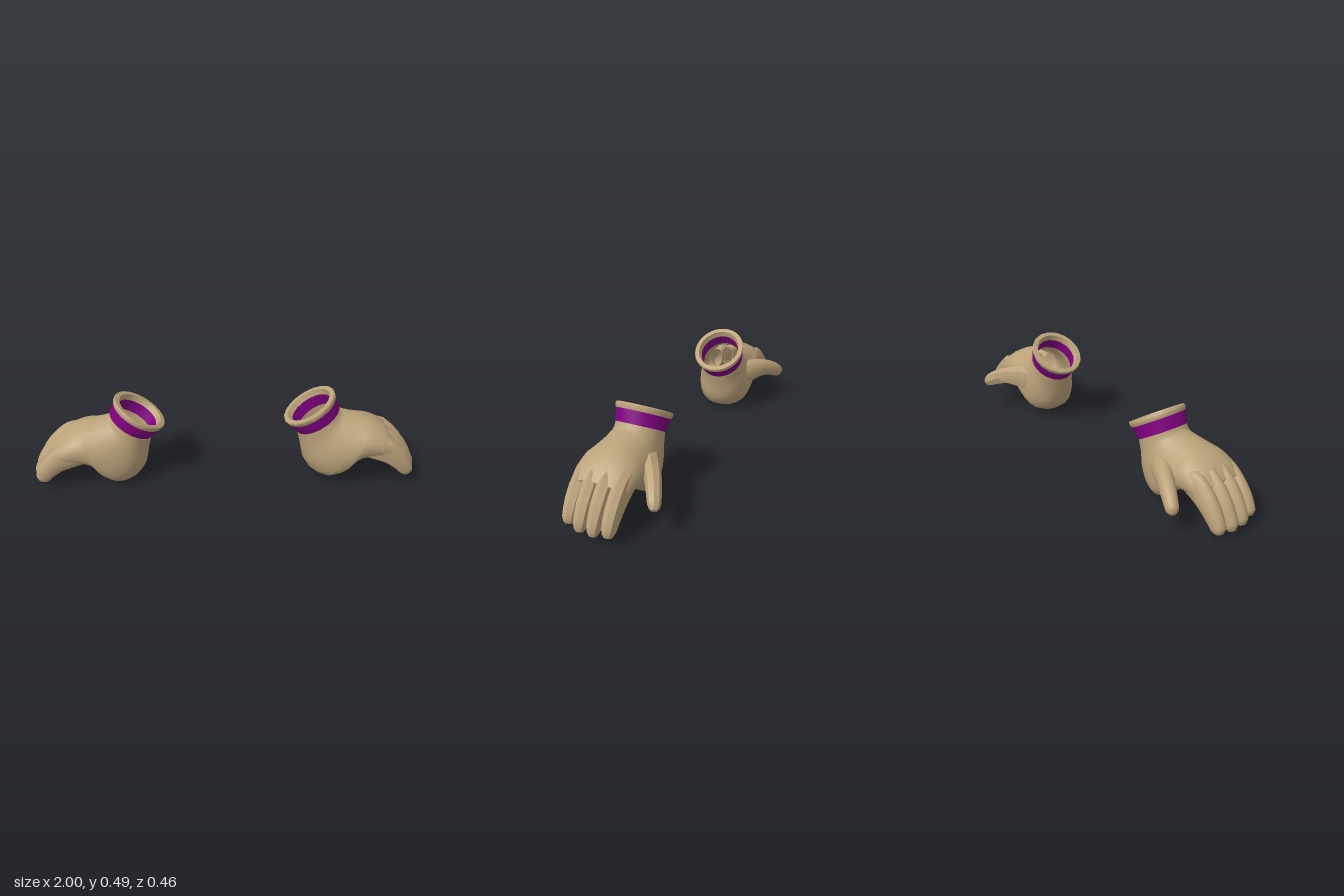
import * as THREE from 'three';
import { toCreasedNormals } from 'three/addons/utils/BufferGeometryUtils.js';

const V3 = (x, y, z) => new THREE.Vector3(x, y, z);

// Skin a list of cross-sections {c, u, v, p (squareness of underside), d (hollow underside)}
function loft(sections, sides, rows) {
  const curve = key => new THREE.CatmullRomCurve3(sections.map(s => s[key]), false, 'centripetal');
  const extra = new THREE.CatmullRomCurve3(sections.map((s, i) => V3(s.p ?? 1, s.d ?? 0, i)));
  const [C, U, W] = [curve('c'), curve('u'), curve('v')];
  const pos = [], idx = [];
  for (let i = 0; i <= rows; i++) {
    const t = i / rows, c = C.getPoint(t), u = U.getPoint(t), v = W.getPoint(t), e = extra.getPoint(t);
    for (let j = 0; j < sides; j++) {
      const a = j / sides * Math.PI * 2, co = Math.cos(a), si = Math.sin(a);
      const bend = k => Math.sign(k) * Math.abs(k) ** (si < 0 ? e.x : 0.95);
      const hollow = si < 0 ? 1 - e.y * si ** 4 : 1;
      const q = c.clone().addScaledVector(v, bend(co)).addScaledVector(u, bend(si) * hollow);
      pos.push(q.x, q.y, q.z);
      if (i < rows) {
        const k = i * sides, n = (j + 1) % sides;
        idx.push(k + j, k + sides + j, k + n, k + n, k + sides + j, k + sides + n);
      }
    }
  }
  // end cap
  const end = C.getPoint(1), last = rows * sides, mid = pos.length / 3;
  pos.push(end.x, end.y, end.z);
  for (let j = 0; j < sides; j++) idx.push(mid, last + (j + 1) % sides, last + j);
  const g = new THREE.BufferGeometry();
  g.setAttribute('position', new THREE.Float32BufferAttribute(pos, 3));
  g.setIndex(idx);
  return g;
}

// Finger-like limb: rows of [x, y, z, half thickness, half width]
function limb(rows, sides, steps) {
  const pts = rows.map(r => V3(r[0], r[1], r[2]));
  return loft(rows.map((r, i) => {
    const t = pts[Math.min(i + 1, pts.length - 1)].clone().sub(pts[Math.max(i - 1, 0)]).normalize();
    const v = t.clone().cross(V3(0, 1, 0)).normalize();
    const u = v.clone().cross(t);
    return { c: pts[i], u: u.multiplyScalar(r[3]), v: v.multiplyScalar(r[4]), p: 0.9 };
  }), sides, steps);
}

// Palm: [top x, top y, bottom x, bottom y, centre z, half width, squareness, hollow]
const PALM = [
  [0.58, 0.378, 0.377, 0.242, 0.035, 0.119, 1, 0],
  [0.595, 0.355, 0.395, 0.175, 0.037, 0.122, 1, 0],
  [0.625, 0.348, 0.415, 0.08, 0.042, 0.135, 0.95, 0],
  [0.66, 0.342, 0.465, 0.018, 0.046, 0.147, 0.85, 0.02],
  [0.69, 0.337, 0.54, -0.004, 0.048, 0.155, 0.75, 0.06],
  [0.72, 0.33, 0.615, 0.035, 0.05, 0.156, 0.72, 0.15],
  [0.75, 0.318, 0.665, 0.105, 0.05, 0.154, 0.72, 0.2],
  [0.79, 0.3, 0.72, 0.13, 0.05, 0.15, 0.7, 0.1],
  [0.835, 0.27, 0.785, 0.14, 0.05, 0.147, 0.7, 0],
  [0.875, 0.228, 0.835, 0.13, 0.048, 0.138, 0.7, 0]
];

// Finger profile: [x, y, half thickness, half width]
const FINGER = [
  [0.70, 0.235, 0.055, 0.034], [0.80, 0.213, 0.07, 0.04], [0.88, 0.16, 0.058, 0.04],
  [0.935, 0.10, 0.047, 0.037], [0.968, 0.048, 0.037, 0.031], [0.978, 0.026, 0.018, 0.017]
];
// [name, base z, tip z, length, base drop]
const FINGERS = [
  ['indexFinger', -0.052, -0.055, 0.97, 0.014],
  ['middleFinger', 0.016, 0.014, 1, 0],
  ['ringFinger', 0.086, 0.082, 0.99, 0.004],
  ['littleFinger', 0.155, 0.147, 0.93, 0.026]
];

const THUMB = [
  [0.53, 0.185, -0.015, 0.085, 0.06], [0.62, 0.20, -0.085, 0.068, 0.048],
  [0.70, 0.198, -0.14, 0.05, 0.04], [0.77, 0.17, -0.18, 0.042, 0.035],
  [0.815, 0.14, -0.204, 0.034, 0.03], [0.83, 0.128, -0.212, 0.016, 0.015]
];

function makeHand(name, mirror, fine, mats) {
  const hand = new THREE.Group();
  hand.name = name;
  const crease = fine ? 1.0 : 0.6;

  const add = (part, geo, mat) => {
    geo.deleteAttribute('uv');
    geo.deleteAttribute('normal');
    if (mirror) {
      geo.scale(-1, 1, 1);
      const a = geo.index.array;
      for (let i = 0; i < a.length; i += 3) [a[i], a[i + 1]] = [a[i + 1], a[i]];
    }
    const mesh = new THREE.Mesh(toCreasedNormals(geo, crease), mat);
    mesh.name = part;
    hand.add(mesh);
  };

  // Cuff: slightly oval rim and coloured band, turned to the slant of the wrist
  const ring = profile => new THREE.LatheGeometry(
    profile.map(([r, y]) => new THREE.Vector2(r, y)), fine ? 32 : 18)
    .scale(1.06, 1, 1).rotateZ(0.57).translate(0.43, 0.39, 0.035);
  add('cuffRim', ring([[0.132, -0.03], [0.137, -0.02], [0.139, -0.006], [0.136, 0],
    [0.114, 0], [0.105, -0.03]]), mats.tan);
  add('cuffBand', ring([[0.105, -0.03], [0.104, -0.093], [0.12, -0.093], [0.132, -0.03]]), mats.purple);

  // Palm with open wrist
  add('palm', loft(PALM.map(([tx, ty, bx, by, z, w, p, d]) => ({
    c: V3((tx + bx) / 2, (ty + by) / 2, z),
    u: V3((tx - bx) / 2, (ty - by) / 2, 0),
    v: V3(0, 0, w), p, d
  })), fine ? 32 : 20, fine ? 30 : 14), mats.tan);

  // Fingers
  const sides = fine ? 16 : 8, steps = fine ? 18 : 8;
  for (const [part, z0, z1, len, drop] of FINGERS) {
    const [ox, oy] = FINGER[0];
    const rows = FINGER.map(([x, y, h, w], i) => {
      const t = i / (FINGER.length - 1);
      return [ox + (x - ox) * len, oy + (y - oy) * len - drop * (1 - t), z0 + (z1 - z0) * t, h, w];
    });
    add(part, limb(rows, sides, steps), mats.tan);
  }
  add('thumb', limb(THUMB, sides, steps), mats.tan);
  return hand;
}

export function createModel() {
  const tan = new THREE.MeshStandardMaterial({ color: 0xbba27a, side: THREE.DoubleSide });
  tan.name = 'tan';
  const purple = new THREE.MeshStandardMaterial({ color: 0x800080, side: THREE.DoubleSide });
  purple.name = 'purple';
  const mats = { tan, purple };

  const model = new THREE.Group();
  model.name = 'pairOfHands';
  const right = makeHand('rightHand', true, true, mats);
  const left = makeHand('leftHand', false, false, mats);
  left.position.set(0, 0.03, 0.022);
  model.add(right, left);
  return model;
}
